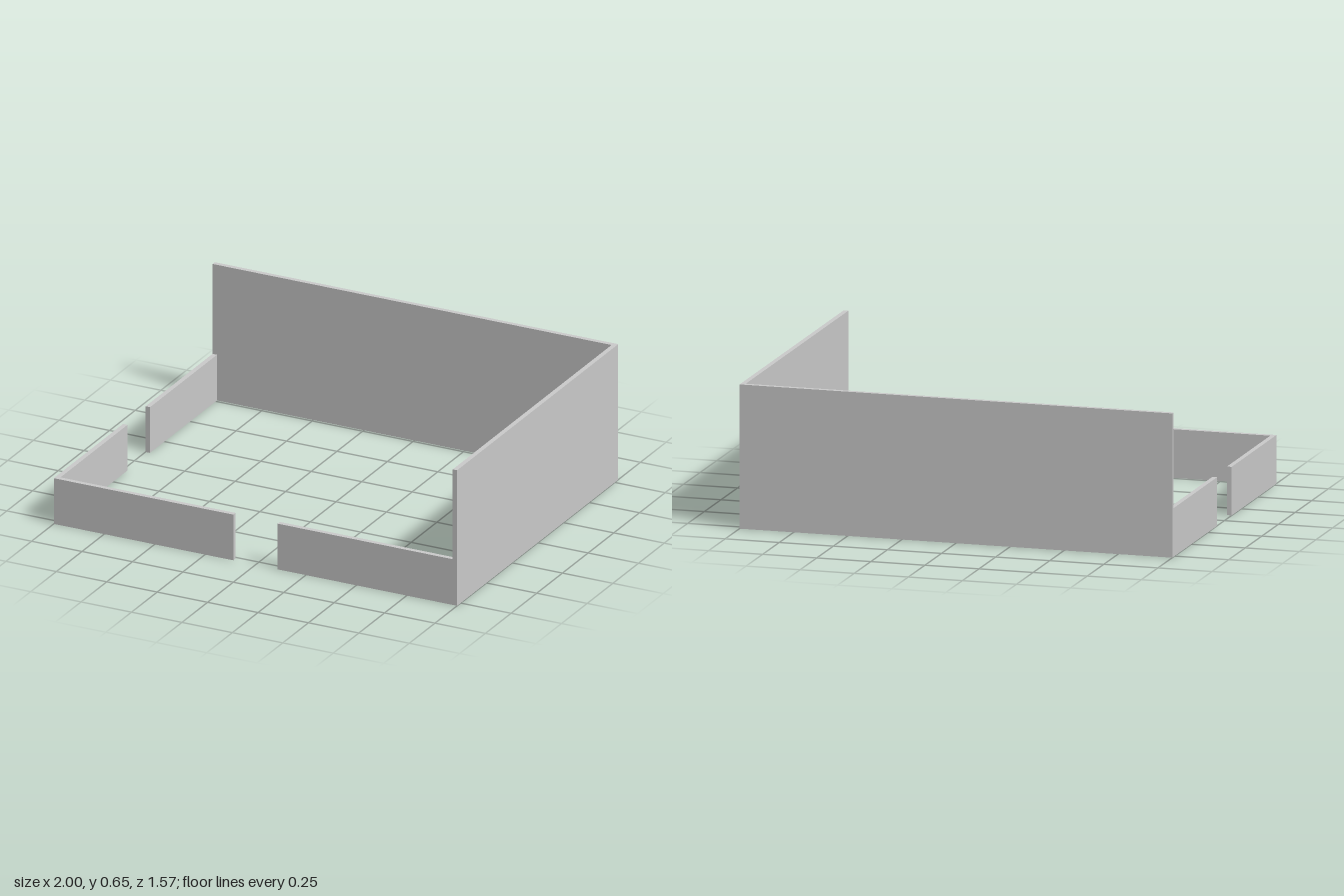
import * as THREE from 'three';

const HALF_X = 1, HALF_Z = 0.784; // outer footprint
const T = 0.022;                  // wall thickness
const TALL = 0.653, LOW = 0.22;   // wall heights
const GAP = 0.11;                 // half width of each doorway

export function createModel() {
  const group = new THREE.Group();
  const material = new THREE.MeshStandardMaterial({ color: 0xcccccc });

  // A wall standing on the ground, given by its extents in x and z
  function wall(name, x0, x1, z0, z1, height) {
    const mesh = new THREE.Mesh(new THREE.BoxGeometry(x1 - x0, height, z1 - z0), material);
    mesh.position.set((x0 + x1) / 2, height / 2, (z0 + z1) / 2);
    mesh.name = name;
    group.add(mesh);
  }

  const inX = HALF_X - T, inZ = HALF_Z - T;

  // Tall walls: back and left
  wall('backWall', -HALF_X, HALF_X, -HALF_Z, -inZ, TALL);
  wall('leftWall', inX, HALF_X, -inZ, HALF_Z, TALL);

  // Low front wall, split by a doorway
  wall('frontLowWallRight', -HALF_X, -GAP, inZ, HALF_Z, LOW);
  wall('frontLowWallLeft', GAP, inX, inZ, HALF_Z, LOW);

  // Low right wall, split by a doorway
  wall('rightLowWallBack', -HALF_X, -inX, -inZ, -GAP, LOW);
  wall('rightLowWallFront', -HALF_X, -inX, GAP, inZ, LOW);

  return group;
}
